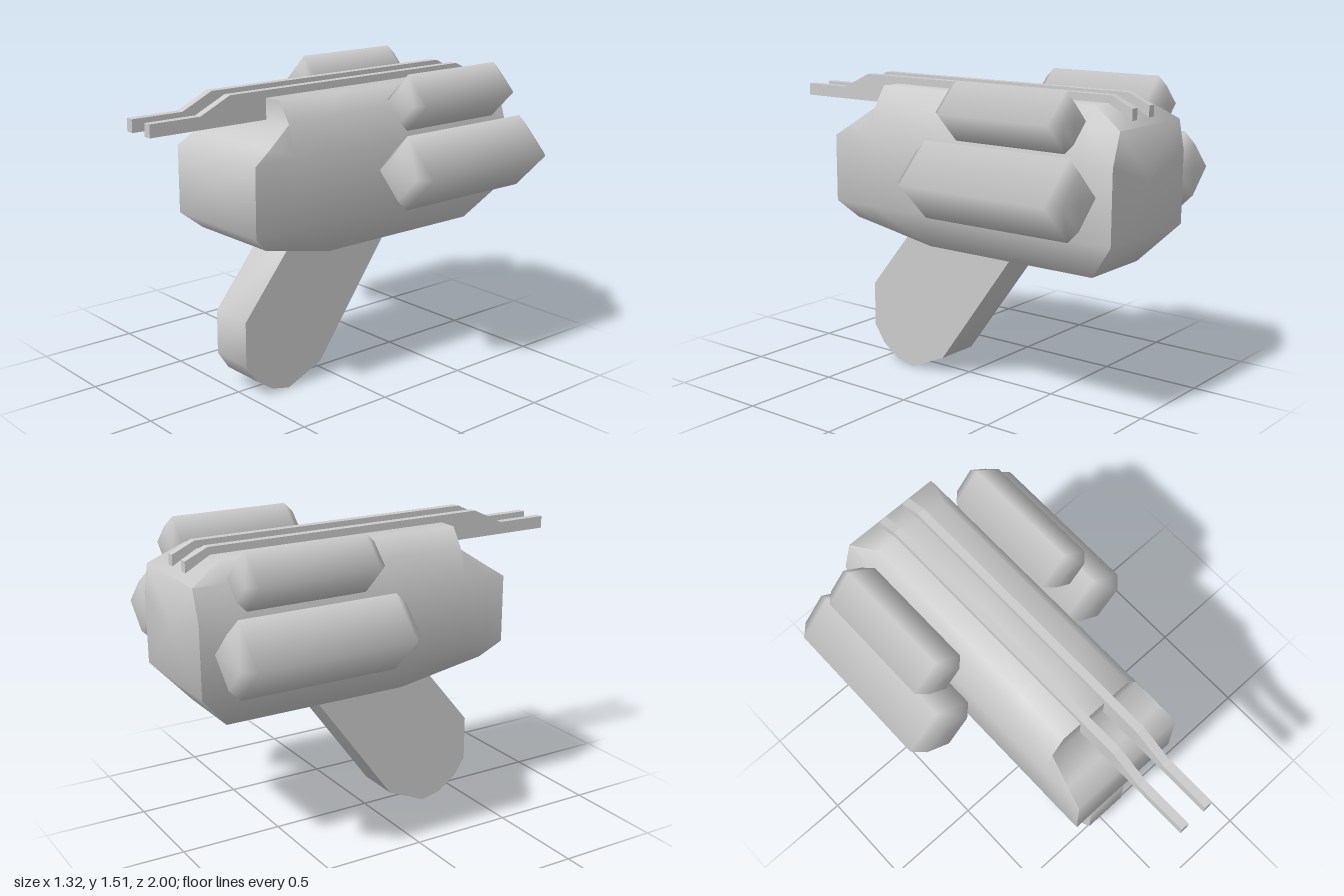
import * as THREE from 'three';
import { toCreasedNormals } from 'three/addons/utils/BufferGeometryUtils.js';

const material = new THREE.MeshStandardMaterial({ color: 0xcccccc });

function addMesh(group, name, geometry, x = 0, y = 0, z = 0) {
  const mesh = new THREE.Mesh(geometry, material);
  mesh.name = name;
  mesh.position.set(x, y, z);
  group.add(mesh);
}

// Slab from a side profile of [z, y] points, centred on x = 0
function slab(profile, width, crease) {
  const shape = new THREE.Shape(profile.map(([z, y]) => new THREE.Vector2(z, y)));
  const geometry = new THREE.ExtrudeGeometry(shape, { depth: width, bevelEnabled: false });
  geometry.translate(0, 0, -width / 2).rotateY(-Math.PI / 2);
  return toCreasedNormals(geometry, crease);
}

// Half width of the hull at a given height
const outline = [[0.68, 0.19], [0.86, 0.3], [1.2, 0.3], [1.35, 0.25], [1.44, 0.19]];
function halfWidth(y) {
  for (let i = 1; i < outline.length; i++) {
    const [y0, w0] = outline[i - 1], [y1, w1] = outline[i];
    if (y <= y1) return w0 + (w1 - w0) * (y - y0) / (y1 - y0);
  }
  return 0.19;
}

// Hull: the octagonal outline clipped to a bottom and top height at each station
function hullGeometry() {
  const stations = [ // z, bottom, top
    [-1, 0.86, 1.35], [-0.84, 0.68, 1.44], [0.09, 0.68, 1.44], [0.38, 0.75, 1.44],
    [0.38, 0.75, 1.34], [0.51, 0.78, 1.252], [0.605, 0.86, 1.19],
  ];
  const rings = stations.map(([z, bottom, top]) => {
    const side = outline.map(([level]) => {
      const y = Math.min(Math.max(level, bottom), top);
      return new THREE.Vector3(halfWidth(y), y, z);
    });
    const mirrored = side.map((p) => new THREE.Vector3(-p.x, p.y, p.z)).reverse();
    return [...side, ...mirrored];
  });
  const positions = [];
  const tri = (a, b, c) => {
    if (new THREE.Triangle(a, b, c).getArea() < 1e-7) return;
    for (const p of [a, b, c]) positions.push(p.x, p.y, p.z);
  };
  const n = rings[0].length;
  const first = rings[0], last = rings[rings.length - 1];
  const middle = (ring) => new THREE.Vector3(0, (ring[0].y + ring[4].y) / 2, ring[0].z);
  for (let j = 0; j < n; j++) {
    const k = (j + 1) % n;
    for (let i = 0; i + 1 < rings.length; i++) {
      const r = rings[i], s = rings[i + 1];
      tri(r[j], r[k], s[k]);
      tri(r[j], s[k], s[j]);
    }
    tri(middle(last), last[j], last[k]);
    tri(middle(first), first[k], first[j]);
  }
  const geometry = new THREE.BufferGeometry();
  geometry.setAttribute('position', new THREE.Float32BufferAttribute(positions, 3));
  return toCreasedNormals(geometry, 1.1);
}

// Diamond-section pod with chamfered ends, lying along z
function podGeometry(radius, length, chamfer) {
  const h = length / 2, end = radius - chamfer;
  const profile = [[0, -h], [end, -h], [radius, -h + chamfer], [radius, h - chamfer], [end, h], [0, h]];
  const points = profile.map(([r, y]) => new THREE.Vector2(r, y));
  return new THREE.LatheGeometry(points, 4).rotateX(Math.PI / 2);
}

export function createModel() {
  const model = new THREE.Group();
  model.name = 'blaster';

  addMesh(model, 'hull', hullGeometry());

  // Slanted grip, its top buried in the hull
  addMesh(model, 'grip', slab([
    [0.27, 0.725], [-0.38, 0.725], [0.08, 0.09], [0.28, 0.003],
    [0.38, 0.025], [0.475, 0.09], [0.535, 0.18], [0.535, 0.4],
  ], 0.23, 0.9));

  // Twin top rails and paired side pods
  const rail = slab([
    [1, 1.34], [1, 1.4], [0.74, 1.4], [0.58, 1.475],
    [-0.85, 1.475], [-0.96, 1.425], [-0.96, 1.34],
  ], 0.04, 0.3);
  const lowerPod = podGeometry(0.177, 0.88, 0.055);
  const upperPod = podGeometry(0.133, 0.675, 0.045);
  for (const [side, s] of [['left', 1], ['right', -1]]) {
    addMesh(model, side + 'Rail', rail, s * 0.07);
    addMesh(model, side + 'LowerPod', lowerPod, s * 0.482, 1.08, -0.518);
    addMesh(model, side + 'UpperPod', upperPod, s * 0.38, 1.385, -0.52);
  }
  return model;
}
